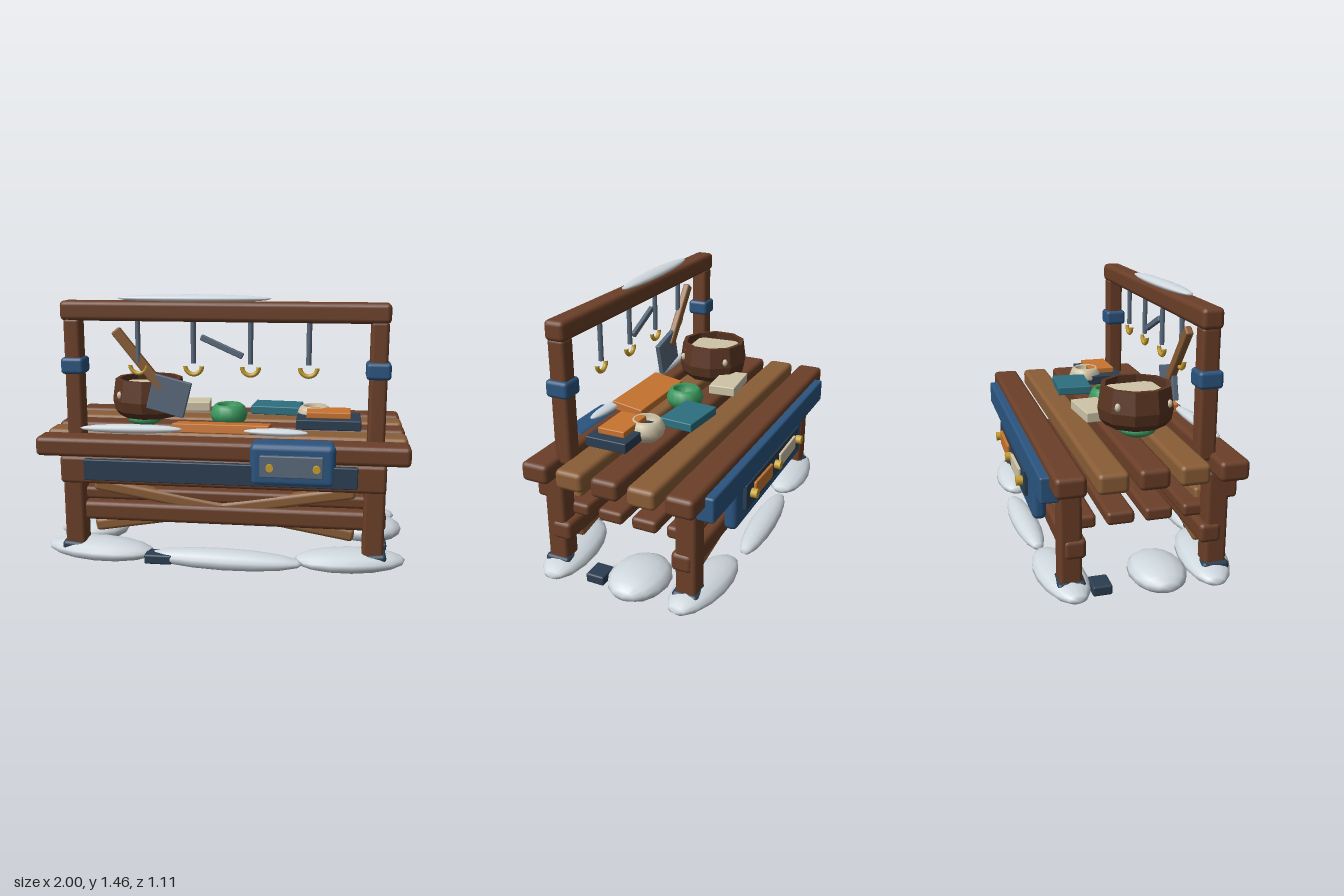
import * as THREE from 'three';
import { RoundedBoxGeometry } from 'three/addons/geometries/RoundedBoxGeometry.js';

const mat = (color, extra = {}) => new THREE.MeshStandardMaterial({ color, ...extra });
const M = {
  wood: mat(0x6b3f28), lightWood: mat(0x8a5d36), navy: mat(0x2b3e52), blue: mat(0x2b5580),
  snow: mat(0xd0d9df), orange: mat(0xc8742f), teal: mat(0x2c7080), cream: mat(0xcfc4a8),
  green: mat(0x3c9a5f), gold: mat(0xc8a02e), steel: mat(0x5a6a7c),
  pot: mat(0x5a3522, { side: THREE.DoubleSide, flatShading: true }),
};

export function createModel() {
  const root = new THREE.Group();

  const add = (name, geometry, material, pos, rot = [0, 0, 0]) => {
    const mesh = new THREE.Mesh(geometry, material);
    mesh.name = name;
    mesh.position.set(...pos);
    mesh.rotation.set(...rot);
    root.add(mesh);
    return mesh;
  };
  // Rounded box given by centre and size
  const box = (name, material, pos, size, rot, r = 0.02) =>
    add(name, new RoundedBoxGeometry(...size, 2, Math.min(r, Math.min(...size) * 0.4)), material, pos, rot);
  // Lens of snow, pointed along x
  const snow = (name, pos, radii, yaw = 0) => {
    const g = new THREE.SphereGeometry(1, 14, 8);
    g.rotateZ(Math.PI / 2);
    g.scale(...radii);
    return add(name, g, M.snow, pos, [0, yaw, 0]);
  };
  const knob = (name, x, y, z, r = 0.02) =>
    add(name, new THREE.CylinderGeometry(r, r, 0.045, 12), M.gold, [x, y, z], [Math.PI / 2, 0, 0]);

  // Table top
  [0.41, 0.21, 0.008, -0.193, -0.395].forEach((z, i) =>
    box('topPlank', i % 2 ? M.lightWood : M.wood, [-0.007, 0.657, z], [1.985, 0.105, 0.153], undefined, 0.025));

  // Lower shelf
  for (const z of [0.307, 0.107, -0.093, -0.293])
    box('shelfPlank', M.wood, [0, 0.375, z], [1.56, 0.07, 0.145]);

  // Legs, shoes, stretchers and cross braces
  for (const s of [1, -1]) {
    const z = s > 0 ? 0.385 : -0.37;
    for (const x of [-0.81, 0.81]) {
      box('leg', M.wood, [x, 0.345, z], [0.112, 0.53, 0.116]);
      box('legShoe', M.navy, [x * 1.01, 0.085, z], [0.13, 0.055, 0.145], [0, 0, s * Math.sign(x) * 0.1]);
    }
    box('stretcher', M.wood, [0, 0.28, s * 0.35], [1.75, 0.105, 0.115], undefined, 0.025);
    for (const t of [1, -1])
      box('crossBrace', M.lightWood, [0, 0.31, s * 0.355], [1.44, 0.07, 0.065], [0, 0, t * 0.168]);
  }

  // Front apron with inlay and drawer
  box('frontApron', M.wood, [0, 0.535, 0.445], [1.73, 0.15, 0.085]);
  box('apronInlay', M.navy, [-0.005, 0.545, 0.48], [1.445, 0.115, 0.065], undefined, 0.006);
  box('drawer', M.blue, [0.382, 0.603, 0.448], [0.444, 0.23, 0.148], undefined, 0.035);
  box('drawerPlate', M.steel, [0.377, 0.603, 0.525], [0.325, 0.115, 0.03], undefined, 0.006);
  for (const x of [0.267, 0.507]) knob('drawerKnob', x, 0.6, 0.535);

  // Back board and cabinet
  box('backBoard', M.blue, [-0.005, 0.603, -0.47], [1.72, 0.135, 0.095], undefined, 0.012);
  box('backCabinet', M.blue, [-0.01, 0.435, -0.458], [1.06, 0.27, 0.075], undefined, 0.035);
  box('cabinetInlay', M.navy, [0.01, 0.46, -0.495], [0.84, 0.145, 0.045], undefined, 0.006);
  box('orangePanel', M.orange, [0.2, 0.462, -0.517], [0.26, 0.085, 0.03], [0, 0, 0.03], 0.006);
  box('creamPanel', M.cream, [-0.19, 0.462, -0.517], [0.26, 0.085, 0.03], [0, 0, -0.03], 0.006);
  for (const x of [-0.37, -0.005, 0.36]) knob('cabinetKnob', x, 0.462, -0.53, 0.026);

  // Hanging frame
  for (const x of [-0.81, 0.81]) {
    box('post', M.wood, [x, 1.0, 0.32], [0.092, 0.67, 0.097]);
    box('postBand', M.blue, [x, 1.08, 0.321], [0.127, 0.09, 0.127], undefined, 0.02);
  }
  box('topRail', M.wood, [-0.003, 1.374, 0.32], [1.735, 0.105, 0.112], undefined, 0.025);

  // Hooks
  for (const x of [-0.46, -0.16, 0.144, 0.45]) {
    add('hookRod', new THREE.CylinderGeometry(0.014, 0.014, 0.23, 8), M.steel, [x, 1.215, 0.32]);
    add('hook', new THREE.TorusGeometry(0.045, 0.012, 6, 12, Math.PI), M.gold, [x, 1.085, 0.32], [0, 0, Math.PI]);
  }
  box('hangingBar', M.steel, [-0.008, 1.19, 0.32], [0.245, 0.032, 0.025], [0, 0, -0.42], 0.006);

  // Cleaver hanging on the first hook
  box('cleaverHandle', M.lightWood, [-0.457, 1.11, 0.31], [0.055, 0.41, 0.04], [0, 0, 0.675], 0.01);
  box('cleaverBlade', M.steel, [-0.297, 0.92, 0.315], [0.21, 0.195, 0.03], [0, 0, -0.25], 0.005);

  // Cooking pot, hollow and ten-sided
  const [px, pz] = [-0.46, 0.075];
  const potProfile = [[0, 0.765], [0.165, 0.765], [0.195, 0.80], [0.207, 0.86], [0.19, 0.978],
    [0.165, 0.978], [0.175, 0.9], [0.17, 0.82], [0, 0.82]].map(p => new THREE.Vector2(...p));
  add('pot', new THREE.LatheGeometry(potProfile, 10), M.pot, [px, 0, pz]);
  box('potContents', M.cream, [px, 0.925, pz + 0.005], [0.265, 0.04, 0.265], [0, 0.07, 0], 0.006);
  for (let i = 0; i < 4; i++) {
    const a = Math.PI * (0.25 + i * 0.5);
    const bead = add('potStud', new THREE.SphereGeometry(0.016, 8, 6), M.cream,
      [px + Math.cos(a) * 0.195, 0.895, pz + Math.sin(a) * 0.195]);
    bead.scale.y = 1.4;
  }

  // Round bowls with an open mouth
  const bowl = (name, material, x, z, y0, h, r) => {
    const pts = [[0, 0], [0.6, 0], [0.9, 0.25], [1, 0.55], [0.85, 0.88], [0.68, 1], [0.6, 0.9], [0.55, 0.4], [0, 0.3]]
      .map(([a, b]) => new THREE.Vector2(a * r, b * h));
    add(name, new THREE.LatheGeometry(pts, 18), material, [x, y0, z]);
  };
  bowl('greenBowl', M.green, -0.005, 0.05, 0.71, 0.122, 0.107);
  bowl('creamJar', M.cream, 0.48, 0.04, 0.715, 0.118, 0.1);
  bowl('potStand', M.green, -0.49, 0.075, 0.71, 0.07, 0.105);

  // Flat goods on the table
  box('orangeBoard', M.orange, [-0.01, 0.745, 0.295], [0.52, 0.05, 0.19], [-0.15, 0, 0], 0.006);
  box('creamBlock', M.cream, [-0.27, 0.79, -0.11], [0.27, 0.055, 0.155], [0, 0.09, 0], 0.006);
  box('tealBook', M.teal, [0.262, 0.785, -0.1], [0.28, 0.048, 0.195], [0, -0.08, 0], 0.006);
  box('navyBook', M.navy, [0.56, 0.765, 0.14], [0.35, 0.055, 0.235], [0, 0, 0], 0.006);
  box('orangeBook', M.orange, [0.56, 0.81, 0.138], [0.24, 0.035, 0.155], [0, 0, 0], 0.006);

  // Snow on rail and table
  snow('railSnow', [-0.158, 1.44, 0.31], [0.41, 0.022, 0.05], 0.04);
  snow('tableSnowLeft', [-0.487, 0.752, 0.405], [0.28, 0.025, 0.037], 0.05);
  snow('tableSnowRight', [0.285, 0.752, 0.39], [0.175, 0.02, 0.037], -0.05);

  // Snow drifts around the base
  snow('frontDrift', [-0.68, 0.06, 0.385], [0.31, 0.06, 0.13], -0.12);
  snow('frontDrift', [0.02, 0.057, 0.46], [0.43, 0.055, 0.085], -0.04);
  snow('frontDrift', [0.69, 0.06, 0.39], [0.3, 0.06, 0.13], 0.12);
  snow('backDrift', [-0.69, 0.062, -0.39], [0.29, 0.06, 0.125], 0.12);
  snow('backDrift', [-0.02, 0.055, -0.455], [0.36, 0.052, 0.075], 0.05);
  snow('backDrift', [0.69, 0.062, -0.395], [0.29, 0.06, 0.125], -0.12);
  snow('sideDrift', [0.8, 0.08, -0.08], [0.2, 0.076, 0.163]);
  snow('sideDrift', [-0.8, 0.075, 0.09], [0.2, 0.071, 0.15]);

  // Stray blocks in the snow
  box('groundBlock', M.navy, [-0.335, 0.053, 0.46], [0.15, 0.053, 0.1], undefined, 0.01);
  box('groundBlock', M.navy, [0.84, 0.055, 0.14], [0.12, 0.053, 0.105], undefined, 0.01);
  box('groundBlock', M.navy, [-0.84, 0.055, -0.22], [0.12, 0.053, 0.1], undefined, 0.01);

  return root;
}
